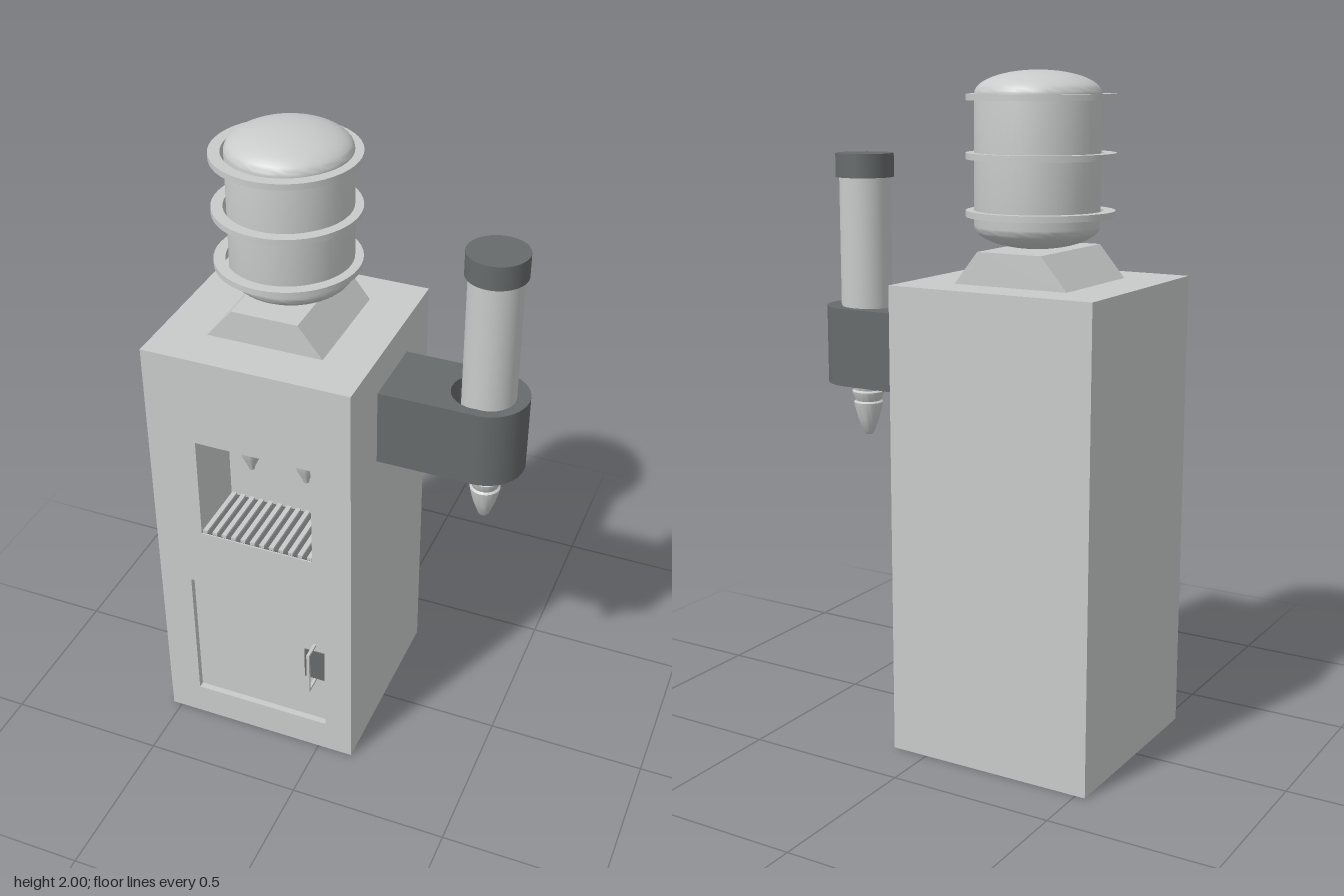
import * as THREE from 'three';
import { toCreasedNormals } from 'three/addons/utils/BufferGeometryUtils.js';

export function createModel() {
  const model = new THREE.Group();
  model.name = 'waterDispenser';
  const paint = (name, color) => new THREE.MeshStandardMaterial({ name, color });
  const light = paint('light grey', 0xc9cbcb);
  const dark = paint('dark grey', 0x676b6b);

  const add = (name, geo, mat, x = 0, y = 0, z = 0, parent = model) => {
    const mesh = new THREE.Mesh(geo, mat);
    mesh.name = name;
    mesh.position.set(x, y, z);
    parent.add(mesh);
    return mesh;
  };
  // Box given by its lower and upper corners
  const block = (name, mat, x0, x1, y0, y1, z0, z1, parent = model) =>
    add(name, new THREE.BoxGeometry(x1 - x0, y1 - y0, z1 - z0), mat,
      (x0 + x1) / 2, (y0 + y1) / 2, (z0 + z1) / 2, parent);
  const polygon = (pts, Type = THREE.Shape) => new Type(pts.map(p => new THREE.Vector2(...p)));
  const rect = (x0, x1, y0, y1, Type) => polygon([[x0, y0], [x1, y0], [x1, y1], [x0, y1]], Type);
  const extrude = (shape, depth) => new THREE.ExtrudeGeometry(shape, { depth, bevelEnabled: false, curveSegments: 32 });
  const lathe = pts => toCreasedNormals(
    new THREE.LatheGeometry(pts.map(p => new THREE.Vector2(...p)), 48), 0.6);

  // Cabinet: front section with the niche and door openings, solid rear section
  const back = -0.333, front = 0.295, nicheBack = 0.085;
  const face = rect(-0.53, 0.114, 0, 1.405);
  face.holes.push(rect(-0.375, -0.01, 0.78, 1.12, THREE.Path));
  face.holes.push(rect(-0.425, 0.025, 0.11, 0.58, THREE.Path));
  add('cabinetFront', extrude(face, front - nicheBack), light, 0, 0, nicheBack);
  block('cabinetRear', light, -0.53, 0.114, 0, 1.405, back, nicheBack);

  // Door, set back slightly, with a dark grip plate and a bar handle
  block('door', light, -0.425, 0.025, 0.11, 0.58, nicheBack, 0.275);
  block('gripPlate', dark, -0.05, 0.025, 0.285, 0.4, 0.274, 0.279);
  const handle = new THREE.Group();
  handle.name = 'doorHandle';
  model.add(handle);
  block('handleBar', light, -0.02, -0.011, 0.275, 0.43, 0.323, 0.332, handle);
  for (const y of [0.275, 0.421])
    block('handlePost', light, -0.02, -0.011, y, y + 0.009, 0.27, 0.324, handle);

  // Drip tray: light slats over a dark bed
  block('dripBed', dark, -0.375, -0.01, 0.78, 0.784, nicheBack, front - 0.005);
  for (let i = 0; i < 12; i++) {
    const x = -0.372 + i * 0.0313;
    block('dripSlat', light, x, x + 0.015, 0.782, 0.792, nicheBack, front - 0.004);
  }

  // Two taps on the back of the niche
  const spout = lathe([[0, -0.1], [0.009, -0.098], [0.012, -0.085], [0.026, -0.055],
    [0.034, -0.025], [0.036, -0.012], [0.022, 0.005], [0, 0.005]]);
  for (const x of [-0.28, -0.1]) {
    const tap = new THREE.Group();
    tap.name = 'tap';
    tap.position.set(x, 1.035, 0.125);
    model.add(tap);
    add('tapBody', new THREE.CylinderGeometry(0.03, 0.03, 0.05, 32).rotateX(Math.PI / 2), light, 0, 0, -0.016, tap);
    add('spout', spout, light, 0, 0, 0, tap);
    add('tapNut', new THREE.CylinderGeometry(0.014, 0.014, 0.03, 24).rotateX(Math.PI / 2), light, 0, 0, 0.02, tap);
    add('tapLever', new THREE.BoxGeometry(0.009, 0.06, 0.009), dark, 0, 0.027, 0.03, tap);
  }

  // Bottle seat: a trapezoid extended from front to back
  add('bottleSeat', extrude(polygon([[-0.388, 1.405], [-0.028, 1.405], [-0.103, 1.5], [-0.307, 1.5]]), 0.361),
    light, 0, 0, -0.208);

  // Bottle with domed ends
  const profile = [], steps = 14;
  for (const end of [-1, 1])
    for (let i = 0; i <= steps; i++) {
      const a = (end < 0 ? i - steps : i) / steps * Math.PI / 2;
      profile.push([0.18 * Math.cos(a), 1.75 + end * 0.185 + 0.065 * Math.sin(a)]);
    }
  add('bottle', lathe(profile), light, -0.2, 0, -0.036);

  // Three hoops around the bottle
  const hoop = lathe([[0.18, -0.009], [0.214, -0.009], [0.214, 0.009], [0.18, 0.009], [0.18, -0.009]]);
  for (const y of [1.6, 1.762, 1.925]) add('bottleHoop', hoop, light, -0.207, y, -0.029);

  // Cup holder bracket with a rounded end and a through hole
  const cz = 0.028, cx = 0.408, r = 0.12;
  const arm = new THREE.Shape();
  arm.moveTo(0.114, cz - r);
  arm.lineTo(cx, cz - r);
  arm.absarc(cx, cz, r, -Math.PI / 2, Math.PI / 2, false);
  arm.lineTo(0.114, cz + r);
  arm.closePath();
  arm.holes.push(new THREE.Path().absarc(0.388, cz, 0.09, 0, Math.PI * 2, true));
  add('cupBracket', toCreasedNormals(extrude(arm, 0.24).rotateX(-Math.PI / 2), 0.6), dark, 0, 1.05, 0);

  // Cup tube, its lid and the stacked cone cups below
  add('cupTube', new THREE.CylinderGeometry(0.079, 0.079, 0.61, 48), light, 0.412, 1.385, -0.017);
  add('tubeLid', new THREE.CylinderGeometry(0.089, 0.089, 0.072, 48), dark, 0.412, 1.718, -0.018);
  add('coneCups', lathe([[0, 0.87], [0.009, 0.871], [0.017, 0.88], [0.034, 0.925], [0.044, 0.965],
    [0.046, 0.977], [0.039, 0.982], [0.05, 1.005], [0.051, 1.012], [0.043, 1.017],
    [0.053, 1.045], [0.056, 1.09], [0, 1.09]]), light, 0.42, 0, -0.007);

  return model;
}
